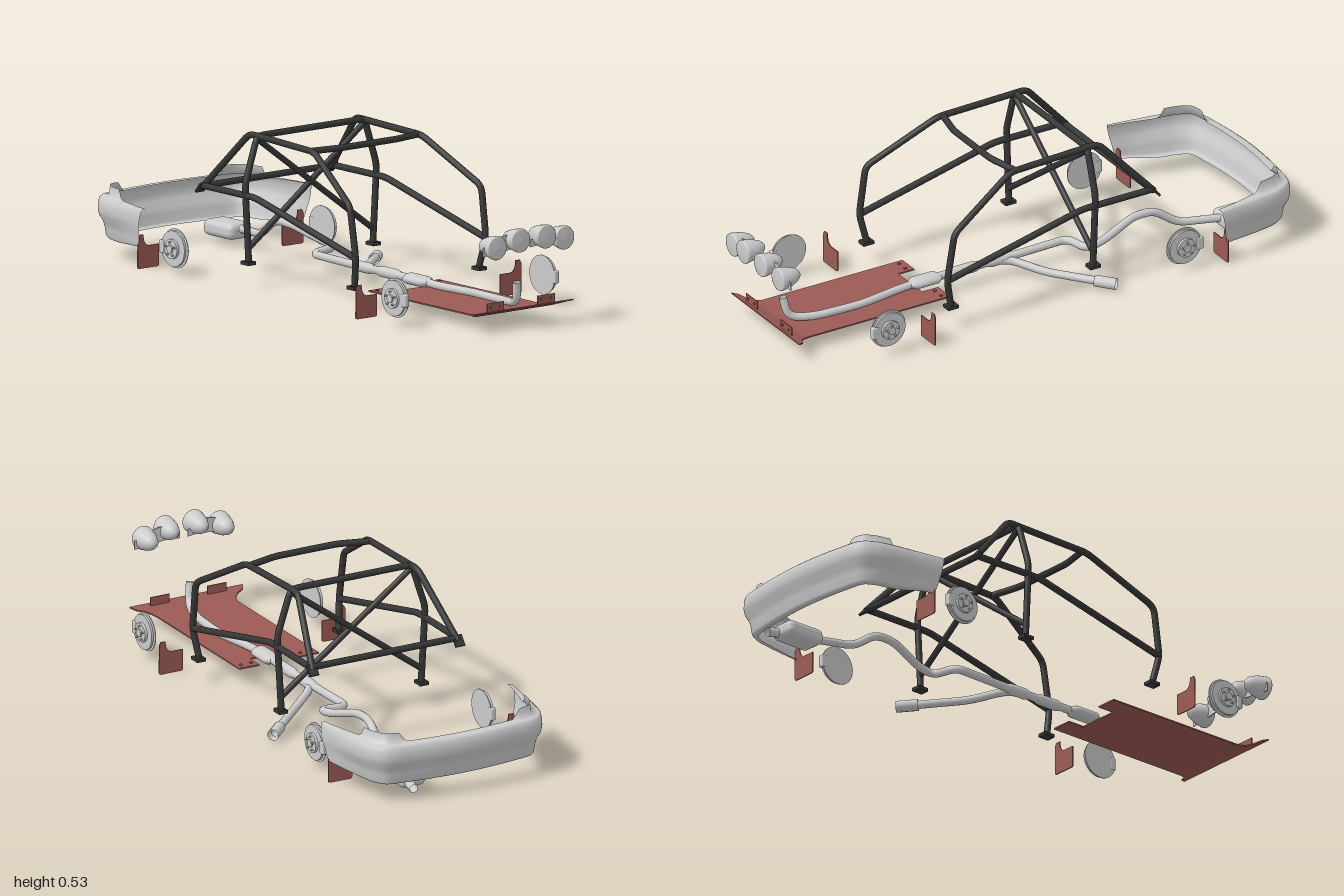
import * as THREE from 'three';
import { RoundedBoxGeometry } from 'three/addons/geometries/RoundedBoxGeometry.js';

const V = (x, y, z) => new THREE.Vector3(x, y, z);
const grey = new THREE.MeshStandardMaterial({ color: 0xcccccc, side: THREE.DoubleSide });
const red = new THREE.MeshStandardMaterial({ color: 0x9c5a54, side: THREE.DoubleSide });
const dark = new THREE.MeshStandardMaterial({ color: 0x363636, side: THREE.DoubleSide });

export function createModel() {
  const root = new THREE.Group();

  function add(parent, name, geometry, material, x = 0, y = 0, z = 0) {
    const mesh = new THREE.Mesh(geometry, material);
    mesh.name = name;
    mesh.position.set(x, y, z);
    parent.add(mesh);
    return mesh;
  }
  function group(name) {
    const g = new THREE.Group();
    g.name = name;
    root.add(g);
    return g;
  }
  // Bent pipe: straight runs joined by rounded corners
  function pipe(parent, name, points, r, material, bend = 0.025) {
    const pts = points.map((p) => V(...p));
    const path = new THREE.CurvePath();
    let from = pts[0];
    for (let i = 1; i < pts.length - 1; i++) {
      const p = pts[i];
      const cut = (q) => p.clone().lerp(q, Math.min(0.45, bend / p.distanceTo(q)));
      const a = cut(pts[i - 1]), b = cut(pts[i + 1]);
      path.add(new THREE.LineCurve3(from, a));
      path.add(new THREE.QuadraticBezierCurve3(a, p, b));
      from = b;
    }
    path.add(new THREE.LineCurve3(from, pts[pts.length - 1]));
    const segments = pts.length === 2 ? 1 : pts.length * 14;
    return add(parent, name, new THREE.TubeGeometry(path, segments, r, 12, false), material);
  }
  // Turned body along z, profile given as [radius, z]
  function turned(parent, name, profile, material, x, y, z = 0) {
    const g = new THREE.LatheGeometry(profile.map((p) => new THREE.Vector2(...p)), 28);
    g.rotateX(Math.PI / 2);
    return add(parent, name, g, material, x, y, z);
  }

  // Roll cage
  const cage = group('rollCage');
  const R = 0.0115;
  pipe(cage, 'mainHoop', [[-0.272, 0.085, -0.195], [-0.288, 0.355, -0.195], [-0.235, 0.518, -0.195],
    [0.235, 0.518, -0.195], [0.288, 0.355, -0.195], [0.272, 0.085, -0.195]], R, dark);
  pipe(cage, 'windscreenBar', [[-0.235, 0.508, 0.09], [-0.12, 0.51, 0.118], [0.12, 0.51, 0.118], [0.235, 0.508, 0.09]], R, dark);
  pipe(cage, 'rearCrossBar', [[-0.285, 0.318, -0.42], [0.285, 0.318, -0.42]], R, dark);
  for (const s of [1, -1]) {
    pipe(cage, 'sideTube', [[s * 0.272, 0.085, 0.37], [s * 0.285, 0.19, 0.392], [s * 0.288, 0.365, 0.365],
      [s * 0.236, 0.508, 0.11], [s * 0.232, 0.517, -0.2]], R, dark);
    pipe(cage, 'rearStay', [[s * 0.232, 0.517, -0.19], [s * 0.233, 0.517, -0.24], [s * 0.283, 0.31, -0.43]], R, dark);
    pipe(cage, 'doorBar', [[s * 0.285, 0.19, 0.392], [s * 0.286, 0.318, -0.145], [s * 0.285, 0.318, -0.42]], R, dark);
    pipe(cage, 'hoopDiagonal', [[s * 0.232, 0.505, -0.195], [-s * 0.277, 0.132, -0.195]], 0.0105, dark);
    for (const z of [0.37, -0.195]) add(cage, 'footPlate', new THREE.BoxGeometry(0.034, 0.012, 0.042), dark, s * 0.274, 0.084, z);
    const plate = add(cage, 'stayPlate', new THREE.BoxGeometry(0.036, 0.042, 0.008), dark, s * 0.284, 0.311, -0.431);
    plate.rotation.x = 0.7;
  }

  // Exhaust system
  const exhaust = group('exhaust');
  const E = 0.014;
  pipe(exhaust, 'downPipe', [[0.018, 0.145, 0.882], [0.03, 0.07, 0.868], [0.055, 0.06, 0.78], [0.063, 0.06, 0.6],
    [0.04, 0.062, 0.44], [0.038, 0.065, 0.38]], E, grey, 0.05);
  const can = (r, l) => [[E, -l / 2 - 0.02], [r, -l / 2], [r, l / 2], [E, l / 2 + 0.02]];
  turned(exhaust, 'catalyst', can(0.032, 0.085), grey, 0.037, 0.066, 0.33).scale.y = 0.6;
  turned(exhaust, 'resonator', can(0.019, 0.075), grey, 0.04, 0.066, 0.175);
  turned(exhaust, 'pipeJunction', can(0.019, 0.06), grey, 0.04, 0.066, 0.04);
  pipe(exhaust, 'rearPipe', [[0.038, 0.066, 0.3], [0.04, 0.066, 0], [0.04, 0.07, -0.235], [0.148, 0.08, -0.245],
    [0.148, 0.09, -0.31], [0.118, 0.132, -0.45], [0.118, 0.132, -0.53], [0.13, 0.068, -0.62], [0.165, 0.06, -0.77]], E, grey, 0.035);
  pipe(exhaust, 'sidePipe', [[0.04, 0.064, 0.05], [0.052, 0.058, -0.005], [0.15, 0.036, -0.08], [0.32, 0.026, -0.235]], E, grey, 0.04);
  pipe(exhaust, 'sideTip', [[0.28, 0.028, -0.198], [0.336, 0.025, -0.25]], 0.02, grey);
  add(exhaust, 'muffler', new RoundedBoxGeometry(0.1, 0.056, 0.155, 4, 0.022), grey, 0.162, 0.052, -0.838);
  pipe(exhaust, 'tailPipe', [[0.182, 0.048, -0.9], [0.186, 0.038, -0.955]], 0.016, grey);

  // Brake discs with hub, vents and caliper
  for (const s of [1, -1]) for (const [z, y, dir] of [[0.65, 0.098, 1], [-0.525, 0.09, -1]]) {
    const brake = group(dir > 0 ? 'frontBrake' : 'rearBrake');
    brake.position.set(s * 0.324, y, z);
    const slab = (name, r, w, x) => {
      const g = new THREE.CylinderGeometry(r, r, w, 36);
      g.rotateZ(Math.PI / 2);
      add(brake, name, g, grey, s * x);
    };
    slab('shield', 0.068, 0.003, -0.003);
    slab('disc', 0.062, 0.008, 0.006);
    slab('hub', 0.034, 0.012, 0.014);
    slab('hubNut', 0.014, 0.008, 0.022);
    for (let i = 0; i < 5; i++) {
      const a = i * Math.PI * 0.4, g = new THREE.CylinderGeometry(0.0035, 0.0035, 0.01, 8);
      g.rotateZ(Math.PI / 2);
      add(brake, 'stud', g, grey, s * 0.023, Math.cos(a) * 0.024, Math.sin(a) * 0.024);
    }
    add(brake, 'caliper', new RoundedBoxGeometry(0.02, 0.045, 0.025, 2, 0.005), grey, s * 0.004, 0, dir * 0.058);
  }

  // Mud flaps, taller on the outside
  for (const s of [1, -1]) for (const [z, y] of [[0.484, 0.003], [-0.68, 0]]) {
    const f = new THREE.Shape();
    f.moveTo(0.28, 0);
    f.lineTo(0.355, 0);
    f.quadraticCurveTo(0.363, 0, 0.363, 0.01);
    f.lineTo(0.362, 0.105);
    f.lineTo(0.356, 0.117);
    f.lineTo(0.338, 0.117);
    f.quadraticCurveTo(0.338, 0.078, 0.31, 0.077);
    f.lineTo(0.27, 0.077);
    f.lineTo(0.27, 0.01);
    f.quadraticCurveTo(0.27, 0, 0.28, 0);
    const flap = add(root, 'mudFlap', new THREE.ExtrudeGeometry(f, { depth: 0.004, bevelEnabled: false }), red, 0, y, z);
    flap.scale.x = s;
  }

  // Skid plate: sheet widening and rising at the front lip, [z, half width, y]
  const skid = group('skidPlate');
  const rows = [[0.365, 0.155, 0.047], [0.86, 0.155, 0.047], [0.885, 0.162, 0.05], [0.905, 0.18, 0.057], [0.918, 0.208, 0.063], [0.94, 0.22, 0.069]];
  const sheet = new THREE.BoxGeometry(2, 0.005, rows.length - 1, 1, 1, rows.length - 1).toNonIndexed();
  const sp = sheet.attributes.position;
  for (let i = 0; i < sp.count; i++) {
    const [z, w, y] = rows[Math.round(sp.getZ(i) + (rows.length - 1) / 2)];
    sp.setXYZ(i, sp.getX(i) * w, sp.getY(i) + y, z);
  }
  sheet.computeVertexNormals();
  add(skid, 'plate', sheet, red);
  for (const s of [1, -1]) {
    add(skid, 'rearTab', new THREE.BoxGeometry(0.078, 0.005, 0.065), red, s * 0.116, 0.047, 0.333);
    add(skid, 'frontTab', new THREE.BoxGeometry(0.074, 0.034, 0.004), red, s * 0.111, 0.08, 0.925);
    for (const d of [-0.02, 0.02]) {
      add(skid, 'rearBolt', new THREE.CylinderGeometry(0.006, 0.006, 0.004, 10), red, s * 0.116 + d, 0.051, 0.325);
      const g = new THREE.CylinderGeometry(0.005, 0.005, 0.004, 10);
      g.rotateX(Math.PI / 2);
      add(skid, 'frontBolt', g, red, s * 0.111 + d, 0.083, 0.928);
    }
  }

  // Spot lamps on two brackets
  const lamps = group('spotLamps');
  const bowl = [[0, -0.085], [0.012, -0.083], [0.024, -0.07], [0.034, -0.045], [0.04, -0.015], [0.0415, -0.004], [0.04, 0], [0.037, 0.001], [0, 0.004]];
  for (const s of [1, -1]) {
    turned(lamps, 'innerLamp', bowl, grey, s * 0.057, 0.314, 0.996);
    turned(lamps, 'outerLamp', bowl, grey, s * 0.148, 0.297, 0.982);
    const b = new THREE.Shape([[0.015, 0.277], [0.06, 0.282], [0.165, 0.27], [0.192, 0.268], [0.192, 0.298], [0.12, 0.327], [0.085, 0.333], [0.015, 0.3]]
      .map((p) => new THREE.Vector2(...p)));
    add(lamps, 'lampBracket', new THREE.ExtrudeGeometry(b, { depth: 0.004, bevelEnabled: false }), grey, 0, 0, 0.955).scale.x = s;
  }

  // Rear bumper: profile [inset, y] swept round a U-shaped path
  const half = [[0.376, -0.645], [0.367, -0.74], [0.355, -0.84], [0.338, -0.91], [0.3, -0.962], [0.2, -0.985]];
  const path = new THREE.CatmullRomCurve3([...half, [0, -1], ...half.slice().reverse().map(([x, z]) => [-x, z])].map(([x, z]) => V(x, 0, z)));
  const profile = [[0.042, 0.211], [0.038, 0.211], [0.014, 0.21], [0.005, 0.203], [0.001, 0.185], [0, 0.165], [0.004, 0.145],
    [0.018, 0.122], [0.024, 0.1], [0.028, 0.072], [0.034, 0.065], [0.05, 0.064]];
  const N = 96, M = profile.length, pos = [], idx = [];
  for (let i = 0; i <= N; i++) {
    const p = path.getPointAt(i / N), t = path.getTangentAt(i / N);
    const ax = Math.abs(p.x);
    // raised wing corners on the upper lip
    const raise = THREE.MathUtils.smoothstep(ax, 0.21, 0.245) * THREE.MathUtils.smoothstep(-p.z, 0.825, 0.84);
    const side = THREE.MathUtils.smoothstep(p.z, -0.85, -0.645);
    profile.forEach(([d, y], j) => {
      const inset = d * (1 - 0.5 * side);
      const yy = y + (j === 0 ? raise * 0.035 : 0) + (y < 0.1 ? side * 0.012 : 0);
      pos.push(p.x + t.z * inset, yy, p.z - t.x * inset - side * Math.max(0, 0.21 - y) * 0.22);
      if (i < N && j < M - 1) {
        const a = i * M + j, b = a + M;
        idx.push(a, a + 1, b, b, a + 1, b + 1);
      }
    });
  }
  const skin = new THREE.BufferGeometry();
  skin.setAttribute('position', new THREE.Float32BufferAttribute(pos, 3));
  skin.setIndex(idx);
  skin.computeVertexNormals();
  add(root, 'rearBumper', skin, grey);

  return root;
}
